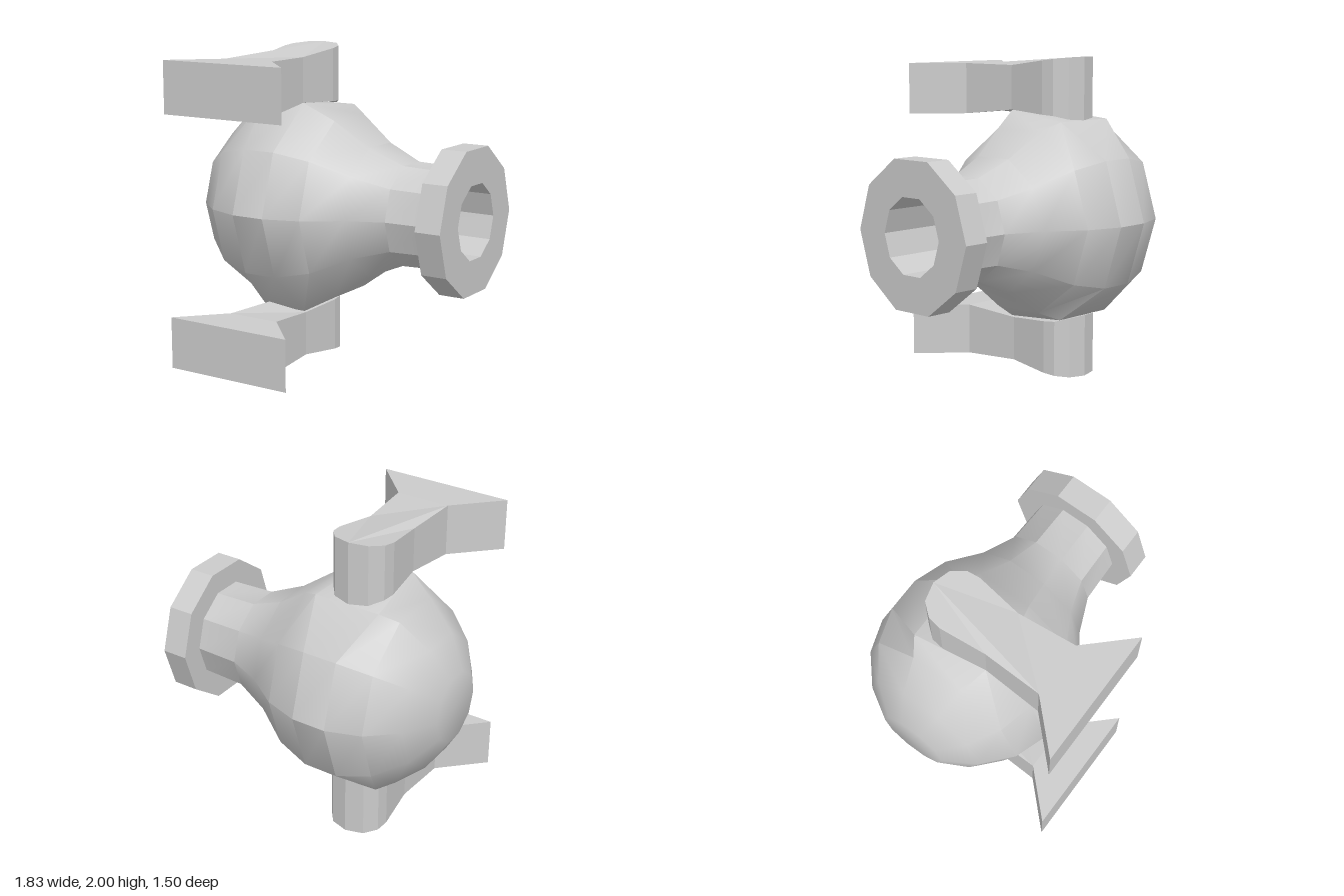
import * as THREE from 'three';
import { toCreasedNormals } from 'three/addons/utils/BufferGeometryUtils.js';

const material = new THREE.MeshStandardMaterial({ color: 0xcccccc });
const flatMaterial = new THREE.MeshStandardMaterial({ color: 0xcccccc, flatShading: true });

// Ten-sided turned form along x; profile is [x, radius] pairs
function turned(profile) {
  const points = profile.map(([x, r]) => new THREE.Vector2(r, x));
  return new THREE.LatheGeometry(points, 10).rotateZ(-Math.PI / 2).scale(1, 1, 0.96);
}

// Piecewise linear value from [z, y] pairs
function sample(table, z) {
  for (let i = 1; i < table.length; i++) {
    const [z0, y0] = table[i - 1], [z1, y1] = table[i];
    if (z <= z1 || i === table.length - 1) return y0 + (y1 - y0) * (z - z0) / (z1 - z0);
  }
}

// Bulb tapering to the neck, with a flat pad above and below for the brackets
function bodyGeometry() {
  const geometry = turned([
    [-0.92, 0], [-0.92, 0.225], [-0.805, 0.425], [-0.63, 0.585], [-0.42, 0.66], [-0.2, 0.66],
    [0.02, 0.585], [0.24, 0.425], [0.465, 0.325], [0.745, 0.315],
  ]);
  const p = geometry.attributes.position;
  for (let i = 0; i < p.count; i++) {
    const x = p.getX(i), y = p.getY(i), z = p.getZ(i);
    if (Math.abs(y) < 0.6) continue;
    const side = x < -0.31 ? -1 : 1;
    if (z > 0) p.setXYZ(i, -0.32 + side * 0.15, Math.sign(y) * 0.66, 0.23);
    else p.setXYZ(i, -0.315 + side * 0.215, Math.sign(y) * 0.61, -0.24);
  }
  return toCreasedNormals(geometry, 0.6);
}

// Flange ring with a blind bore
function flangeGeometry() {
  return turned([
    [0.745, 0.29], [0.745, 0.463], [0.91, 0.463], [0.91, 0.237], [0.1, 0.237], [0.1, 0],
  ]);
}

const outer = [[-0.355, 2], [0.12, 1.94], [0.5, 1.945], [0.75, 1.945]];
const inner = [[-0.355, 1.61], [-0.25, 1.64], [0.12, 1.662], [0.5, 1.62], [0.75, 1.62]];
const plan = [
  [-0.74, 0.75], [-0.48, 0.485], [-0.47, 0.115], [-0.508, -0.17], [-0.497, -0.25], [-0.435, -0.325],
  [-0.32, -0.355], [-0.21, -0.325], [-0.15, -0.25], [-0.138, -0.17], [-0.17, 0.115], [-0.135, 0.485],
  [0.12, 0.75],
];

// Bracket: plan outline given thickness, with its upper and lower faces following z
function bracketGeometry(upperY, lowerY) {
  const shape = new THREE.Shape(plan.map(([x, z]) => new THREE.Vector2(x, z)));
  const geometry = new THREE.ExtrudeGeometry(shape, { depth: 1, bevelEnabled: false });
  geometry.rotateX(Math.PI / 2);
  const p = geometry.attributes.position;
  for (let i = 0; i < p.count; i++) {
    const z = p.getZ(i);
    p.setY(i, p.getY(i) > -0.5 ? upperY(z) : lowerY(z));
  }
  geometry.computeVertexNormals();
  return geometry;
}

export function createModel() {
  const group = new THREE.Group();
  const add = (name, geometry, mat, y = 0, z = 0) => {
    const mesh = new THREE.Mesh(geometry, mat);
    mesh.name = name;
    mesh.position.set(0, y, z);
    group.add(mesh);
  };
  add('body', bodyGeometry(), material, 1, -0.12);
  add('flange', flangeGeometry(), flatMaterial, 1, -0.12);
  add('upperBracket', bracketGeometry((z) => sample(outer, z), (z) => sample(inner, z)), flatMaterial);
  // The lower bracket mirrors the upper one with a slight tilt
  const tilt = (z) => 0.022 * (z + 0.355) / 1.1;
  add('lowerBracket', bracketGeometry(
    (z) => 2 - sample(inner, z) - tilt(z),
    (z) => 2 - sample(outer, z) - tilt(z),
  ), flatMaterial, 0, -0.02);
  return group;
}
